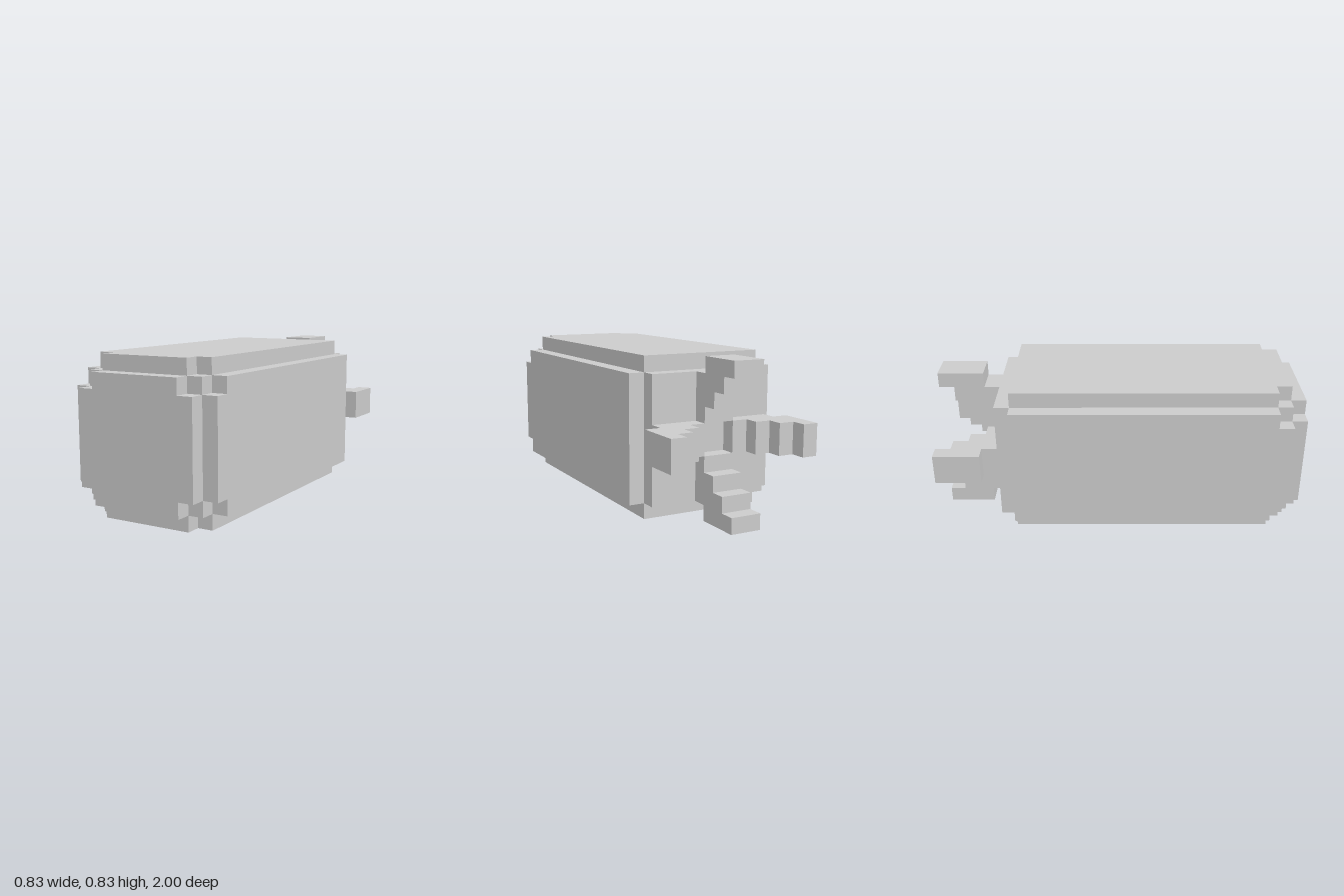
import * as THREE from 'three';

const U = 1 / 12; // size of one block

export function createModel() {
  const model = new THREE.Group();
  const material = new THREE.MeshStandardMaterial({ color: 0xcccccc, flatShading: true });

  const add = (name, geometry, turn = 0) => {
    const mesh = new THREE.Mesh(geometry, material);
    mesh.name = name;
    mesh.rotation.z = turn;
    model.add(mesh);
  };
  const extrude = (points, depth) => new THREE.ExtrudeGeometry(
    new THREE.Shape(points.map(([x, y]) => new THREE.Vector2(x, y))),
    { depth, bevelEnabled: false });

  // Core block, standing proud at the tail
  add('core', new THREE.BoxGeometry(8, 8, 19).translate(0, 0, 1.5));

  // Nose plate with notched corners
  add('nosePlate', extrude([
    [-3, -4], [3, -4], [3, -3], [4, -3], [4, 3], [3, 3],
    [3, 4], [-3, 4], [-3, 3], [-4, 3], [-4, -3], [-3, -3],
  ], 1).translate(0, 0, 11));

  // Long body plate, notched at its front corners
  const plate = extrude([
    [-4, -7], [4, -7], [4, 10], [3, 10], [3, 11], [-3, 11], [-3, 10], [-4, 10],
  ], 1).rotateX(Math.PI / 2).translate(0, 5, 0);

  // Stepped tail fin, sweeping outwards and backwards
  const fin = extrude([
    [1, -8], [1, -9], [2, -9], [2, -10], [3, -10], [3, -11],
    [4, -11], [4, -12], [5, -12], [5, -9], [4, -9], [4, -8],
  ], 2).rotateX(Math.PI / 2).translate(0, 1, 0);

  // Four plates and four fins around the axis
  const plateNames = ['topPlate', 'rightPlate', 'bottomPlate', 'leftPlate'];
  const finNames = ['leftFin', 'topFin', 'rightFin', 'bottomFin'];
  for (let i = 0; i < 4; i++) {
    add(plateNames[i], plate, i * Math.PI / 2);
    add(finNames[i], fin, i * Math.PI / 2);
  }

  model.scale.setScalar(U);
  model.position.y = 5 * U;
  const root = new THREE.Group();
  root.name = 'finnedBlockBody';
  root.add(model);
  return root;
}
